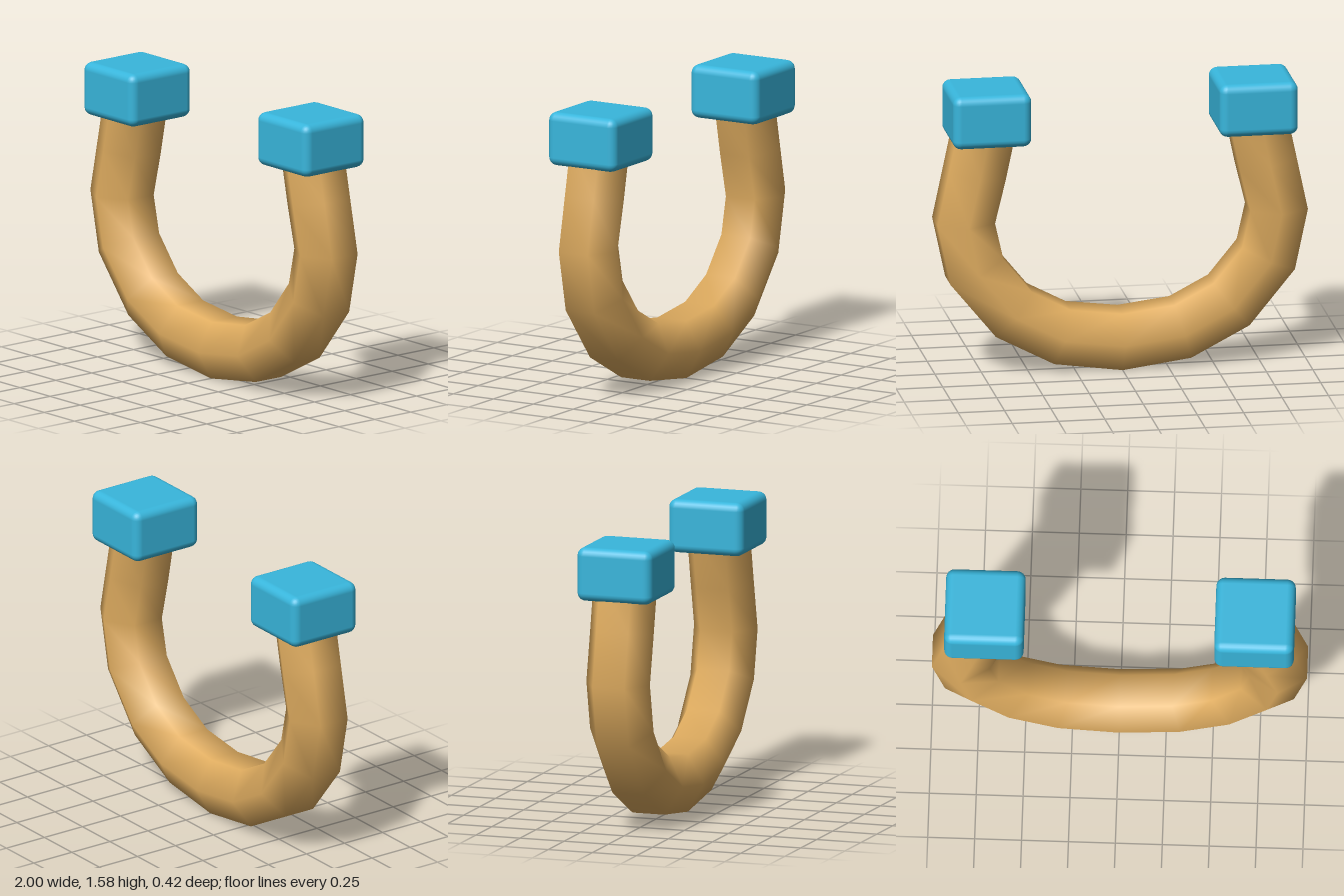
import * as THREE from 'three';
import { RoundedBoxGeometry } from 'three/addons/geometries/RoundedBoxGeometry.js';

// Half of the bend, from the bottom centre up: [outer x, outer y, inner x, inner y]
const half = [
  [0, 0.004, 0, 0.315],
  [0.37, 0.055, 0.28, 0.35],
  [0.685, 0.22, 0.49, 0.46],
  [0.93, 0.52, 0.645, 0.65],
  [1, 0.85, 0.69, 0.85],
  [0.939, 1.14, 0.632, 1.09],
  [0.88, 1.42, 0.567, 1.4],
];

// Six-sided tube lofted through rings spanning the outer and inner edges
function bentTube(rings, depth, sides) {
  const position = [], index = [];
  rings.forEach(([ox, oy, ix, iy], i) => {
    for (let j = 0; j < sides; j++) {
      const a = (j / sides) * Math.PI * 2;
      const s = Math.sin(a) / Math.sin(Math.PI / 3) / 2;
      position.push((ox + ix) / 2 + (ox - ix) * s, (oy + iy) / 2 + (oy - iy) * s, depth * Math.cos(a));
      if (i === rings.length - 1) continue;
      const p = i * sides + j, q = i * sides + ((j + 1) % sides);
      index.push(p, q, p + sides, q, q + sides, p + sides);
    }
  });
  const geometry = new THREE.BufferGeometry();
  geometry.setAttribute('position', new THREE.Float32BufferAttribute(position, 3));
  geometry.setIndex(index);
  geometry.computeVertexNormals();
  return geometry;
}

export function createModel() {
  const model = new THREE.Group();
  const tan = new THREE.MeshStandardMaterial({ color: 0xe0ad60 });
  tan.name = 'tan';
  const blue = new THREE.MeshStandardMaterial({ color: 0x38b6dc });
  blue.name = 'blue';

  // U-shaped body, mirrored about the middle ring
  const mirrored = half.slice(1).reverse().map(([ox, oy, ix, iy]) => [-ox, oy, -ix, iy]);
  const body = new THREE.Mesh(bentTube([...mirrored, ...half], 0.18, 6), tan);
  body.name = 'bentBody';
  model.add(body);

  // Rounded block on each end
  const capGeometry = new RoundedBoxGeometry(0.424, 0.29, 0.424, 3, 0.045);
  for (const side of [-1, 1]) {
    const cap = new THREE.Mesh(capGeometry, blue);
    cap.name = side > 0 ? 'leftCap' : 'rightCap';
    cap.position.set(side * 0.72, 1.44, 0);
    model.add(cap);
  }
  return model;
}
